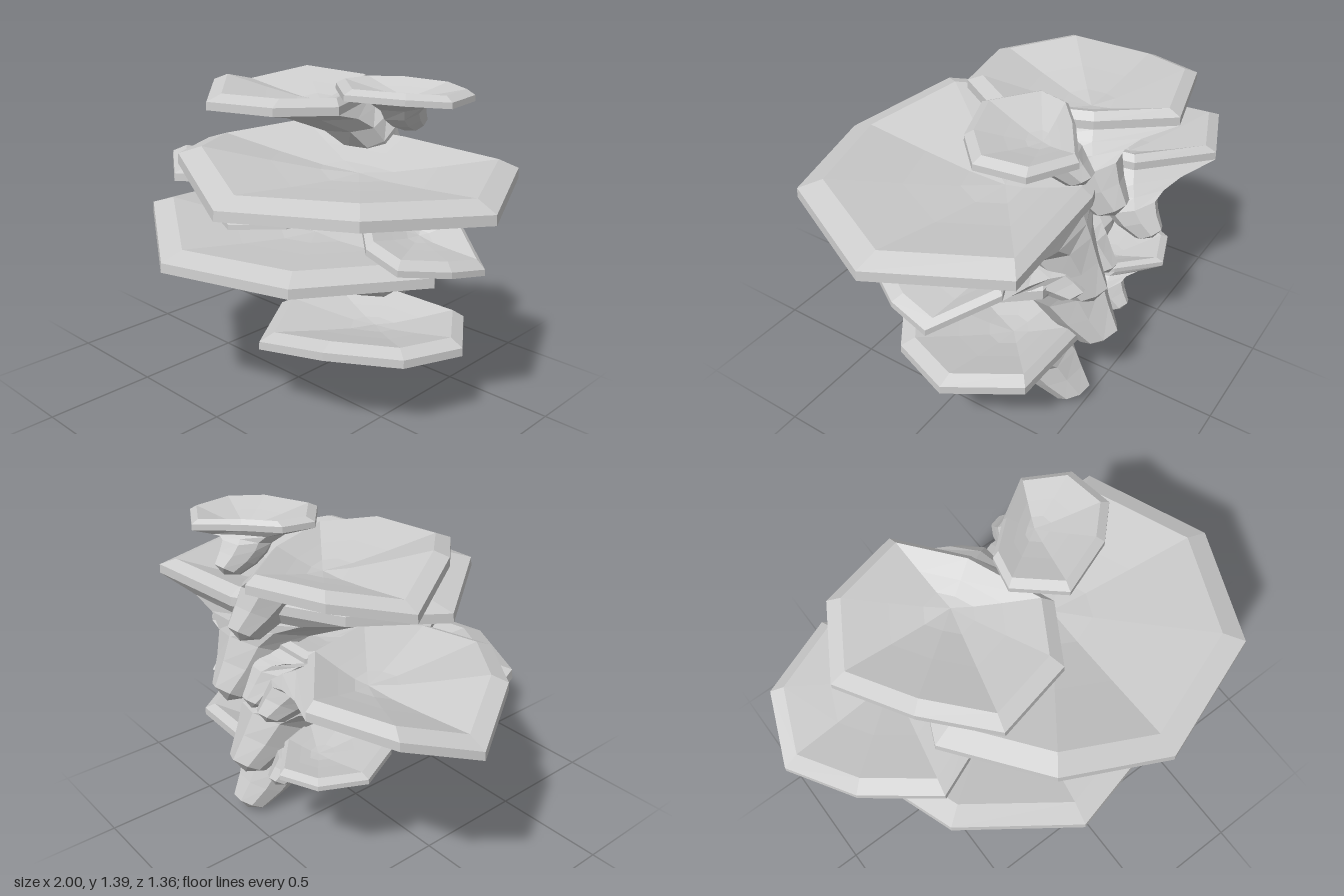
import * as THREE from 'three';

const material = new THREE.MeshStandardMaterial({ color: 0xcccccc, flatShading: true });

// One bracket: an eight-sided rim, funnelled into a narrow stem whose foot bends back.
// rim: lower lip corners, counter-clockwise from above; foot: lowest point; r: stem radius.
function bracket(name, rim, foot, r, lip = 0.035) {
  const n = rim.length;
  const mean = [0, 1, 2].map(k => rim.reduce((s, p) => s + p[k], 0) / n);
  const depth = mean[1] - foot[1];
  const stemZ = foot[2] + r * 1.2;
  const mid = [0, 2].map(k => mean[k] * 0.7 + foot[k] * 0.3);
  const pos = [];
  const index = [];

  // Underside rings: scale of rim, share of the drop, stem radius factor, backward bend
  const under = [
    [0, 0.9, 0.75, 1], [0.03, 0.68, 1, 0.4], [0.08, 0.45, 1.1, 0],
    [0.26, 0.27, 0.8, 0], [0.55, 0.13, 0.3, 0], [1, 0, 0, 0],
  ];
  for (const [s, d, w, bend] of under) {
    const radius = r * w * (1 - s);
    const z = stemZ + (foot[2] - stemZ) * bend;
    for (const p of rim) {
      const a = Math.atan2(p[2] - mean[2], p[0] - mean[0]);
      pos.push(
        foot[0] + (p[0] - foot[0]) * s + Math.cos(a) * radius,
        mean[1] + (p[1] - mean[1]) * s - depth * d - Math.sin(a) * radius * 0.6,
        z + (p[2] - z) * s + Math.sin(a) * radius);
    }
  }
  // Lip and dished top rings: scale, height in lips
  for (const [s, h] of [[0.995, 1], [0.87, 1.8], [0.5, 0.6], [0.22, -0.2]]) {
    for (const p of rim) {
      pos.push(
        mid[0] + (p[0] - mid[0]) * s,
        mean[1] + (p[1] - mean[1]) * s + lip * h,
        mid[1] + (p[2] - mid[1]) * s);
    }
  }
  const rings = pos.length / 3 / n;
  for (let j = 0; j < rings - 1; j++) {
    for (let i = 0; i < n; i++) {
      const a = j * n + i, b = j * n + (i + 1) % n;
      index.push(a, b, b + n, a, b + n, a + n);
    }
  }
  // Close the foot and the dish
  const bottom = pos.length / 3, top = bottom + 1, last = (rings - 1) * n;
  pos.push(foot[0], foot[1], foot[2] - 0.02, mid[0], mean[1] - lip * 0.5, mid[1]);
  for (let i = 0; i < n; i++) {
    const k = (i + 1) % n;
    index.push(bottom, k, i, top, last + i, last + k);
  }
  const geometry = new THREE.BufferGeometry();
  geometry.setAttribute('position', new THREE.Float32BufferAttribute(pos, 3));
  geometry.setIndex(index);
  geometry.computeVertexNormals();
  const mesh = new THREE.Mesh(geometry, material);
  mesh.name = name;
  return mesh;
}

export function createModel() {
  const group = new THREE.Group();
  group.name = 'shelfFungusCluster';
  group.add(
    bracket('topSmallBracket', [
      [0.41, 1.33, -0.52], [0.23, 1.35, -0.4], [0.1, 1.35, -0.29], [0.07, 1.35, -0.15],
      [0.25, 1.34, 0], [0.49, 1.34, -0.09], [0.62, 1.33, -0.22], [0.59, 1.33, -0.42],
    ], [0.27, 1.17, -0.45], 0.07, 0.025),
    bracket('topRightBracket', [
      [-0.15, 1.27, -0.64], [-0.5, 1.29, -0.55], [-0.67, 1.23, -0.28], [-0.5, 1.31, 0.04],
      [-0.27, 1.27, 0.28], [0.06, 1.28, 0.21], [0.2, 1.27, -0.03], [0.06, 1.27, -0.38],
    ], [0.1, 0.95, -0.5], 0.09),
    bracket('upperLargeBracket', [
      [0.77, 1.03, -0.5], [0.22, 1.05, -0.48], [-0.3, 1.09, -0.3], [-0.48, 1.05, 0.1],
      [-0.19, 1.1, 0.5], [0.25, 1, 0.69], [0.78, 1.04, 0.5], [1, 1, 0.01],
    ], [0.24, 0.61, -0.5], 0.1, 0.04),
    bracket('rightBracket', [
      [-0.53, 0.93, -0.67], [-0.87, 0.92, -0.54], [-1, 0.83, -0.26], [-0.83, 0.92, 0.04],
      [-0.55, 0.9, 0.25], [-0.3, 0.92, 0.15], [-0.17, 0.96, -0.1], [-0.23, 0.95, -0.43],
    ], [-0.15, 0.71, -0.56], 0.075),
    bracket('middleSmallBracket', [
      [0.2, 0.87, -0.35], [-0.1, 0.87, -0.35], [-0.25, 0.88, -0.1], [-0.27, 0.87, 0.15],
      [-0.13, 0.88, 0.38], [0.05, 0.86, 0.45], [0.23, 0.87, 0.3], [0.28, 0.88, 0],
    ], [0.08, 0.64, -0.48], 0.07, 0.02),
    bracket('leftBracket', [
      [0.62, 0.8, -0.34], [0.46, 0.85, -0.28], [0.37, 0.88, -0.15], [0.38, 0.87, 0.03],
      [0.54, 0.81, 0.18], [0.72, 0.78, 0.21], [0.83, 0.75, 0.02], [0.86, 0.72, -0.16],
    ], [0.33, 0.68, -0.47], 0.07, 0.025),
    bracket('middleLargeBracket', [
      [0.45, 0.72, -0.41], [-0.1, 0.72, -0.41], [-0.55, 0.76, -0.3], [-0.7, 0.73, 0.05],
      [-0.6, 0.77, 0.34], [-0.14, 0.68, 0.65], [0.45, 0.7, 0.51], [0.74, 0.68, 0],
    ], [0.13, 0.3, -0.5], 0.11, 0.04),
    bracket('lowerSmallBracket', [
      [-0.25, 0.5, -0.6], [-0.42, 0.51, -0.54], [-0.51, 0.51, -0.36], [-0.42, 0.52, -0.16],
      [-0.25, 0.5, -0.05], [-0.08, 0.5, -0.1], [-0.02, 0.51, -0.28], [-0.08, 0.51, -0.45],
    ], [-0.07, 0.33, -0.48], 0.065, 0.02),
    bracket('bottomBracket', [
      [0.6, 0.34, -0.43], [0.2, 0.33, -0.44], [-0.04, 0.32, -0.28], [-0.11, 0.32, 0],
      [0.1, 0.31, 0.34], [0.44, 0.37, 0.31], [0.7, 0.36, 0.12], [0.79, 0.35, -0.15],
    ], [0.23, 0.02, -0.44], 0.1),
  );
  return group;
}
